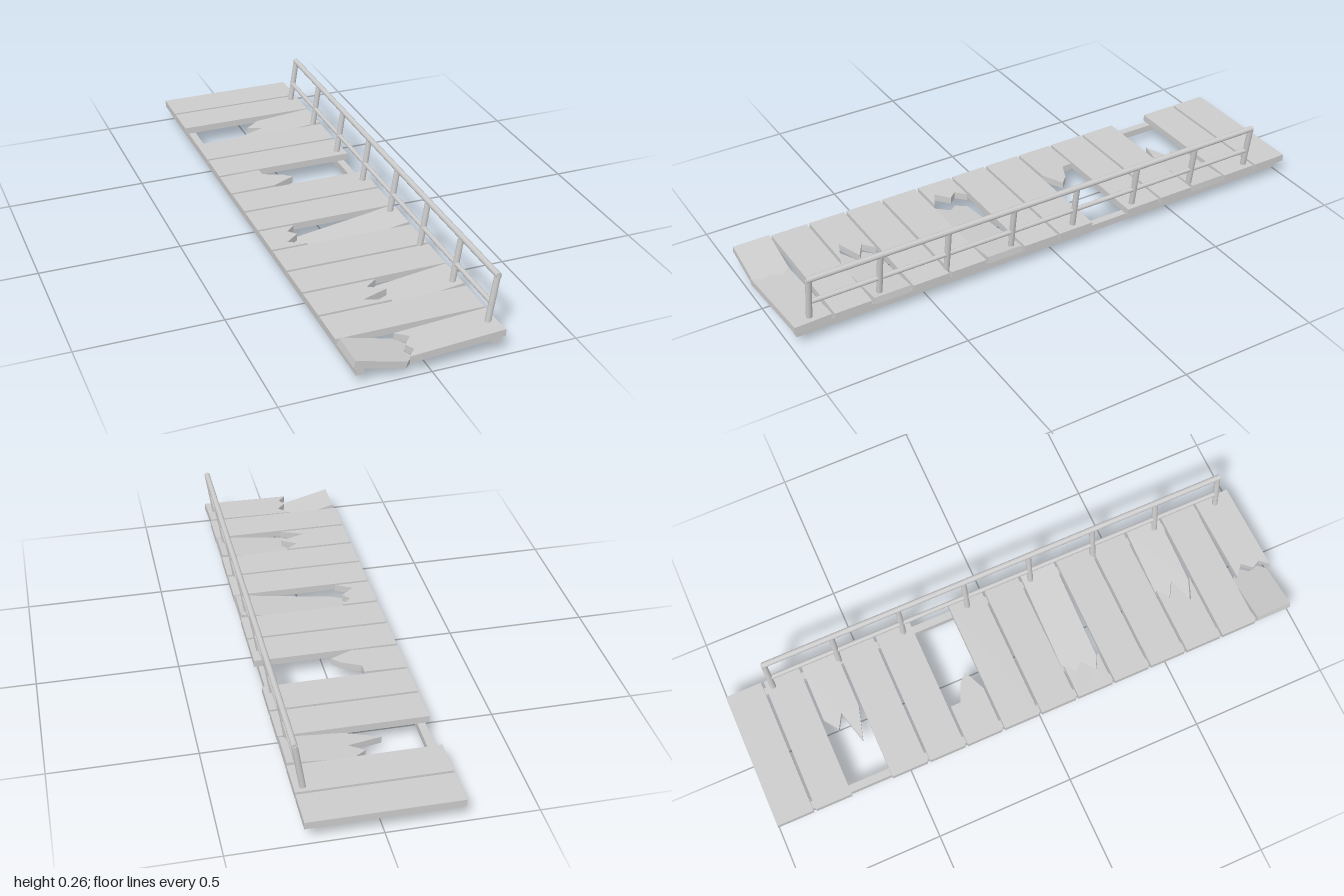
import * as THREE from 'three';

const material = new THREE.MeshStandardMaterial({ color: 0xcccccc });
const LEFT = -0.258, RIGHT = 0.252, BASE = 0.06, THICK = 0.025;
const PITCH = 0.1429, HALF = 0.0665;
const plankZ = (i) => -0.9335 + PITCH * i;

// Broken edges, as [x, z offset from plank centre] from back to front
const cuts = {
  2: [[0.037, -HALF], [-0.016, -0.03], [0.037, 0], [-0.085, 0.033], [0.037, HALF]],
  5: [[-0.106, -HALF], [-0.106, -0.03], [-0.04, 0], [-0.01, 0.03], [-0.09, HALF]],
  8: [[-0.13, -HALF], [-0.165, -0.033], [-0.14, -0.005], [-0.19, 0.035], [-0.13, HALF]],
  11: [[-0.005, -HALF], [-0.05, -0.033], [0.005, 0], [-0.09, 0.033], [-0.005, HALF]],
  13: [[-0.07, -HALF], [-0.032, -0.03], [-0.065, 0.005], [-0.05, 0.035], [-0.08, HALF]],
};

// Surviving pieces: [plank, side, tilt, yaw], angles in degrees
const pieces = [
  [2, 1, 4.6, 0],
  [5, -1, 1, 0],
  [8, -1, 0, 0], [8, 1, 8.6, 0],
  [11, -1, 0, 0], [11, 1, 7, 0],
  [13, -1, -14.8, 0], [13, 1, 1.9, 2.2],
];

function brokenPlank(i, side, tilt, yaw) {
  const pivot = side * 0.214;
  const end = side > 0 ? RIGHT : LEFT;
  const outline = [[end, -HALF], ...cuts[i], [end, HALF]];
  const shape = new THREE.Shape(outline.map(([x, z]) => new THREE.Vector2(x - pivot, -z)));
  const geometry = new THREE.ExtrudeGeometry(shape, { depth: THICK, bevelEnabled: false });
  geometry.rotateX(-Math.PI / 2);
  const mesh = new THREE.Mesh(geometry, material);
  mesh.name = side > 0 ? 'brokenPlankLeft' : 'brokenPlankRight';
  // Pivots on the supporting beam
  mesh.position.set(pivot, BASE, plankZ(i));
  mesh.rotation.set(0, THREE.MathUtils.degToRad(yaw), THREE.MathUtils.degToRad(tilt));
  return mesh;
}

// Round bar between two points
function bar(name, a, b, radius) {
  const from = new THREE.Vector3(...a), to = new THREE.Vector3(...b);
  const dir = to.clone().sub(from);
  const mesh = new THREE.Mesh(new THREE.CylinderGeometry(radius, radius, dir.length(), 16), material);
  mesh.name = name;
  mesh.position.copy(from).add(to).multiplyScalar(0.5);
  mesh.quaternion.setFromUnitVectors(new THREE.Vector3(0, 1, 0), dir.normalize());
  return mesh;
}

export function createModel() {
  const model = new THREE.Group();
  model.name = 'brokenFootbridge';

  // Supporting beams
  for (const side of [-1, 1]) {
    const beam = new THREE.Mesh(new THREE.BoxGeometry(0.027, 0.026, 1.95), material);
    beam.name = side > 0 ? 'beamLeft' : 'beamRight';
    beam.position.set(side > 0 ? 0.224 : -0.231, 0.047, 0.005);
    model.add(beam);
  }

  // Deck: whole planks, then broken ones
  const deck = new THREE.Group();
  deck.name = 'deck';
  const plankGeometry = new THREE.BoxGeometry(RIGHT - LEFT, THICK, HALF * 2);
  for (let i = 0; i < 14; i++) {
    if (cuts[i]) continue;
    const plank = new THREE.Mesh(plankGeometry, material);
    plank.name = 'plank';
    plank.position.set((LEFT + RIGHT) / 2, BASE + THICK / 2, plankZ(i));
    deck.add(plank);
  }
  for (const piece of pieces) deck.add(brokenPlank(...piece));
  model.add(deck);

  // Railing leaning outwards
  const railing = new THREE.Group();
  railing.name = 'railing';
  for (let i = 0; i < 8; i++) {
    const z = 0.925 - 0.251 * i;
    railing.add(bar('railPost', [0.221, 0.075, z], [0.247, 0.248, z], 0.0105));
  }
  railing.add(bar('topRail', [0.247, 0.248, -0.838], [0.247, 0.248, 0.933], 0.0105));
  railing.add(bar('middleRail', [0.232, 0.15, -0.838], [0.232, 0.15, 0.933], 0.0085));
  model.add(railing);

  return model;
}
